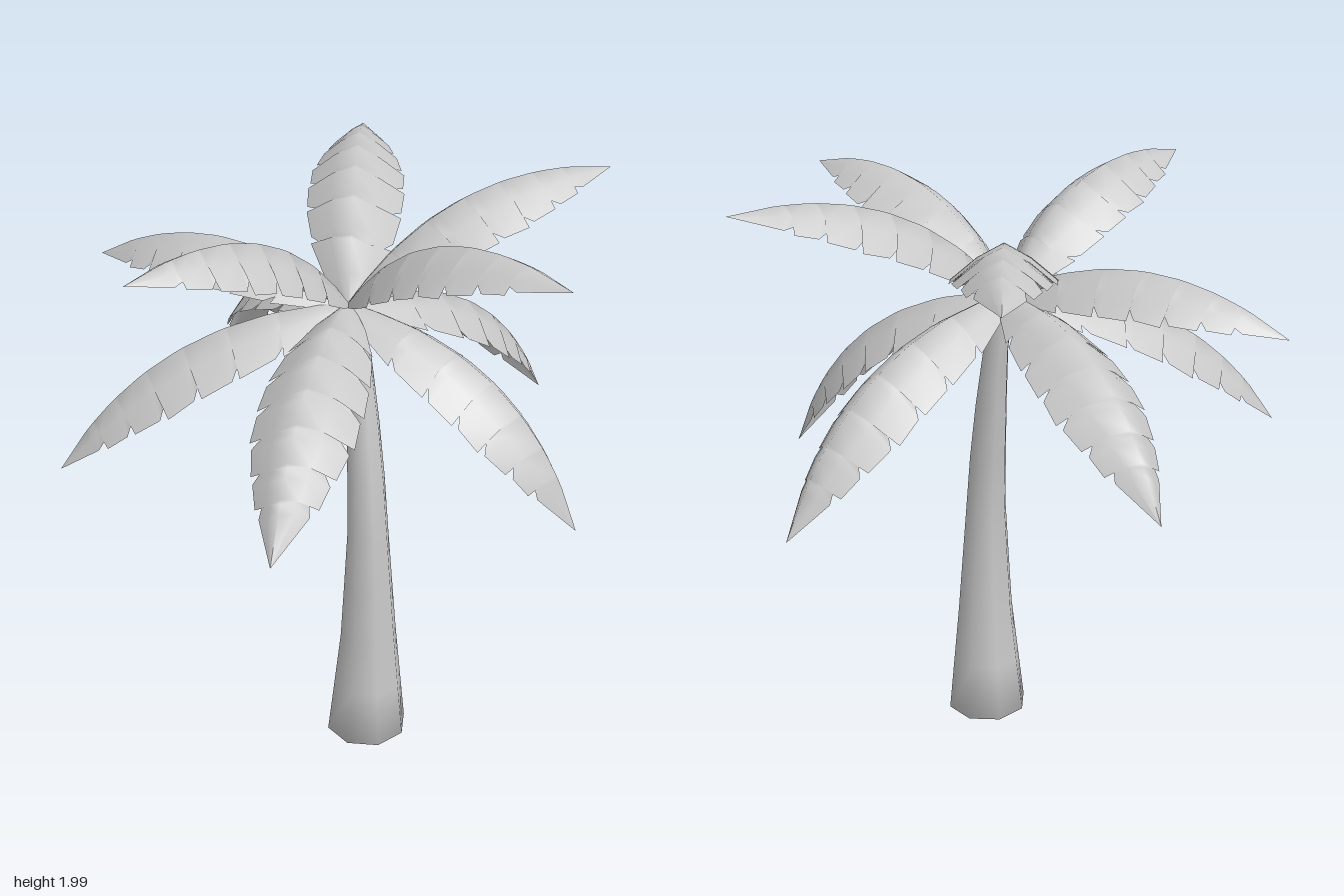
import * as THREE from 'three';
import { mergeVertices } from 'three/addons/utils/BufferGeometryUtils.js';

const grey = new THREE.MeshStandardMaterial({ color: 0xc8c8c8, side: THREE.DoubleSide });
grey.name = 'light grey';

const CROWN = new THREE.Vector3(0.05, 1.62, 0.03);

// linear interpolation in a list of [key, value, value, ...] rows
function sample(rows, k) {
  let i = 0;
  while (i < rows.length - 2 && k > rows[i + 1][0]) i++;
  const f = (k - rows[i][0]) / (rows[i + 1][0] - rows[i][0]);
  return rows[i].map((v, j) => THREE.MathUtils.lerp(v, rows[i + 1][j], f));
}

// trunk rings: height, centre x, centre z, radius
const TRUNK = [
  [0, 0.132, 0.118, 0.144],
  [0.4, 0.135, 0.118, 0.101],
  [0.8, 0.129, 0.111, 0.073],
  [1.1, 0.114, 0.083, 0.062],
  [1.4, 0.088, 0.034, 0.045],
  [1.62, 0.055, 0.012, 0.033],
];

// smooth leaning trunk, rounded into its end caps
function makeTrunk() {
  let g = new THREE.CylinderGeometry(1, 1, 1.62, 8, 8, false, Math.PI / 8);
  g.deleteAttribute('normal');
  g.deleteAttribute('uv');
  g = mergeVertices(g);
  const p = g.attributes.position;
  for (let i = 0; i < p.count; i++) {
    const y = p.getY(i) + 0.81;
    const [, cx, cz, r] = sample(TRUNK, y);
    p.setXYZ(i, cx + p.getX(i) * r, y, cz + p.getZ(i) * r);
  }
  g.computeVertexNormals();
  const m = new THREE.Mesh(g, grey);
  m.name = 'trunk';
  return m;
}

// half width of a frond along its length
const WIDTH = [[0, 0.02], [0.08, 0.08], [0.2, 0.135], [0.4, 0.166], [0.62, 0.16], [0.82, 0.105], [1, 0]];
const NOTCHES = [0.2, 0.35, 0.49, 0.62, 0.74, 0.84];

// edge outline as [t on ridge, t on edge, half width], with a narrow cut at each notch
function edgeOutline(shift) {
  const w = (t) => sample(WIDTH, t)[1];
  const out = [[0, 0, w(0)], [0.08, 0.08, w(0.08)]];
  for (const n of NOTCHES) {
    const t = n + shift;
    out.push([t - 0.012, t + 0.004, w(t)]);
    out.push([t, t - 0.01, w(t) * 0.72]);
    out.push([t + 0.03, t + 0.03, w(t + 0.03) * 0.97]);
  }
  out.push([1, 1, 0]);
  return out;
}

// frond: arched ridge with two drooping, notched halves
function makeFrond(tip, bow, index) {
  const chord = tip.clone().sub(CROWN);
  const dir = chord.clone().normalize();
  const side = new THREE.Vector3().crossVectors(dir, new THREE.Vector3(0, 1, 0)).normalize();
  const up = new THREE.Vector3().crossVectors(side, dir);
  const point = (t, across, drop) => {
    const slope = Math.atan((4 * bow * (1 - 2 * t)) / chord.length());
    const n = up.clone().multiplyScalar(Math.cos(slope)).addScaledVector(dir, -Math.sin(slope));
    return CROWN.clone().addScaledVector(chord, t)
      .addScaledVector(up, 4 * bow * t * (1 - t))
      .addScaledVector(side, across).addScaledVector(n, -drop);
  };
  const pos = [], idx = [];
  const shift = 0.012 * ((index % 3) - 1);
  const left = edgeOutline(-shift), right = edgeOutline(shift);
  // five points per section: edge, middle, ridge, middle, edge
  left.forEach(([tl, el, wl], i) => {
    const [tr, er, wr] = right[i];
    pos.push(...point(el, -wl, wl * 0.68));
    pos.push(...point((tl + el) / 2, -wl * 0.5, wl * 0.27));
    pos.push(...point((tl + tr) / 2, 0, 0));
    pos.push(...point((tr + er) / 2, wr * 0.5, wr * 0.27));
    pos.push(...point(er, wr, wr * 0.68));
    if (i === 0) return;
    for (let k = 0; k < 4; k++) {
      const a = (i - 1) * 5 + k, b = a + 1, c = a + 5, d = a + 6;
      idx.push(a, b, c, b, d, c);
    }
  });
  const g = new THREE.BufferGeometry();
  g.setAttribute('position', new THREE.Float32BufferAttribute(pos, 3));
  g.setIndex(idx);
  g.computeVertexNormals();
  const m = new THREE.Mesh(g, grey);
  m.name = 'frond' + (index + 1);
  return m;
}

// frond tips: x, y, z, bow of the arch
const FRONDS = [
  [0, 1.88, -0.97, 0.18],
  [0.69, 1.02, -0.63, 0.17],
  [0.865, 1.97, -0.355, 0.145],
  [0.815, 0.97, 0.285, 0.17],
  [0.735, 1.92, 0.55, 0.16],
  [-0.075, 1.21, 0.965, 0.165],
  [-0.515, 1.94, 0.695, 0.16],
  [-0.87, 1.09, 0.28, 0.155],
  [-0.84, 1.6, -0.33, 0.145],
  [-0.455, 1.14, -0.7, 0.17],
];

export function createModel() {
  const model = new THREE.Group();
  model.name = 'palmTree';
  model.add(makeTrunk());
  const crown = new THREE.Group();
  crown.name = 'crown';
  FRONDS.forEach(([x, y, z, bow], i) => crown.add(makeFrond(new THREE.Vector3(x, y, z), bow, i)));
  model.add(crown);
  return model;
}
